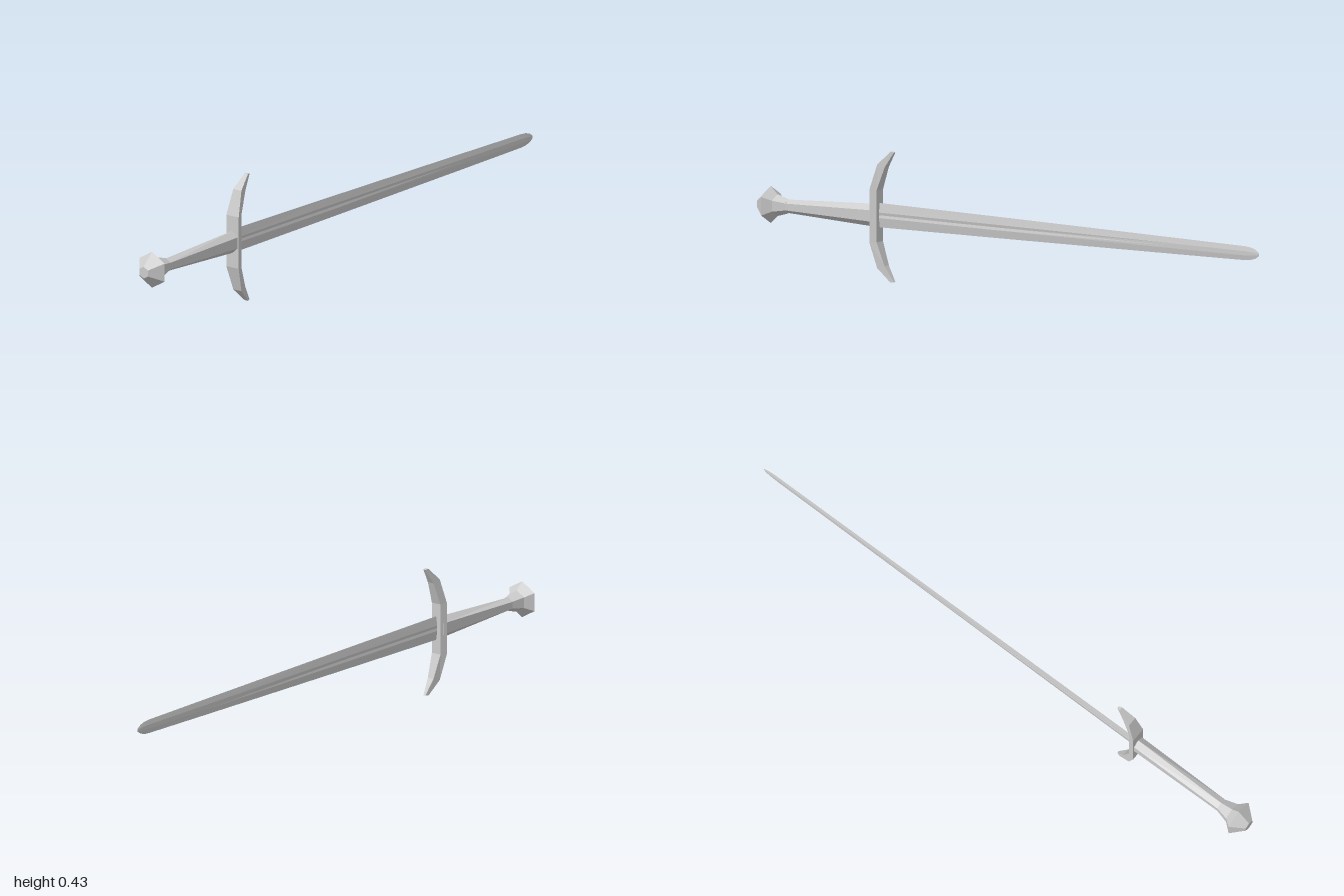
import * as THREE from 'three';

const CY = 0.215; // height of the sword's long axis

// Skin a list of equal-length rings of [x, y, z] points and close both ends
function loft(name, rings) {
  const pos = [];
  const tri = (a, b, c) => pos.push(...a, ...b, ...c);
  const n = rings[0].length;
  for (let i = 0; i < rings.length - 1; i++) {
    for (let j = 0; j < n; j++) {
      const k = (j + 1) % n;
      const a = rings[i][j], b = rings[i][k], c = rings[i + 1][j], d = rings[i + 1][k];
      tri(a, b, c);
      tri(b, d, c);
    }
  }
  const first = rings[0], last = rings[rings.length - 1];
  for (let j = 1; j < n - 1; j++) {
    tri(first[0], first[j + 1], first[j]);
    tri(last[0], last[j], last[j + 1]);
  }
  const geometry = new THREE.BufferGeometry();
  geometry.setAttribute('position', new THREE.Float32BufferAttribute(pos, 3));
  geometry.computeVertexNormals();
  const mesh = new THREE.Mesh(geometry, new THREE.MeshStandardMaterial({ color: 0xcccccc, flatShading: true }));
  mesh.name = name;
  return mesh;
}

// Hexagonal ring with a corner at the top and bottom
function hexRing(x, ry, rz) {
  return Array.from({ length: 6 }, (_, j) => {
    const a = (j * Math.PI) / 3;
    return [x, CY + ry * Math.cos(a), rz * Math.sin(a)];
  });
}

// Blade section: two sharp edges, with a shallow central groove on each face
function bladeRing(x, half, thick, groove) {
  const g = 0.009 * Math.min(1, half / 0.03);
  const side = [[g, thick], [0, thick - groove], [-g, thick]];
  return [
    [x, CY + 0.002 + half, 0],
    ...side.map(([y, z]) => [x, CY + 0.002 + y, z]),
    [x, CY + 0.002 - half, 0],
    ...side.map(([y, z]) => [x, CY + 0.002 - y, -z]),
  ];
}

export function createModel() {
  const sword = new THREE.Group();
  sword.name = 'sword';

  // Pommel: x, radius
  sword.add(loft('pommel', [
    [-1, 0.02], [-0.957, 0.061], [-0.93, 0.036], [-0.885, 0.023],
  ].map(([x, r]) => hexRing(x, r, r))));

  // Grip, growing taller toward the guard
  sword.add(loft('grip', [hexRing(-0.89, 0.022, 0.023), hexRing(-0.53, 0.038, 0.025)]));

  // Crossguard: height from centre and x of the outer and inner face, half-depths
  const arm = [
    { yo: 0.087, yi: 0.085, xo: -0.543, xi: -0.52, wo: 0.026, wi: 0.018 },
    { yo: 0.17, yi: 0.162, xo: -0.518, xi: -0.492, wo: 0.017, wi: 0.012 },
    { yo: 0.215, yi: 0.213, xo: -0.472, xi: -0.46, wo: 0.007, wi: 0.004 },
  ];
  const guardRing = (s, sign) => [
    [s.xo, CY + sign * s.yo, s.wo], [s.xi, CY + sign * s.yi, s.wi],
    [s.xi, CY + sign * s.yi, -s.wi], [s.xo, CY + sign * s.yo, -s.wo],
  ];
  sword.add(loft('crossguard', [
    ...[...arm].reverse().map((s) => guardRing(s, -1)),
    ...arm.map((s) => guardRing(s, 1)),
  ]));

  // Blade: x, half-height, half-thickness, groove depth
  sword.add(loft('blade', [
    [-0.53, 0.04, 0.0045, 0.002], [-0.03, 0.035, 0.0042, 0.002],
    [0.64, 0.027, 0.0035, 0], [0.94, 0.023, 0.003, 0],
    [0.965, 0.021, 0.0028, 0], [0.985, 0.015, 0.002, 0], [1, 0.005, 0.0006, 0],
  ].map((s) => bladeRing(...s))));

  return sword;
}
